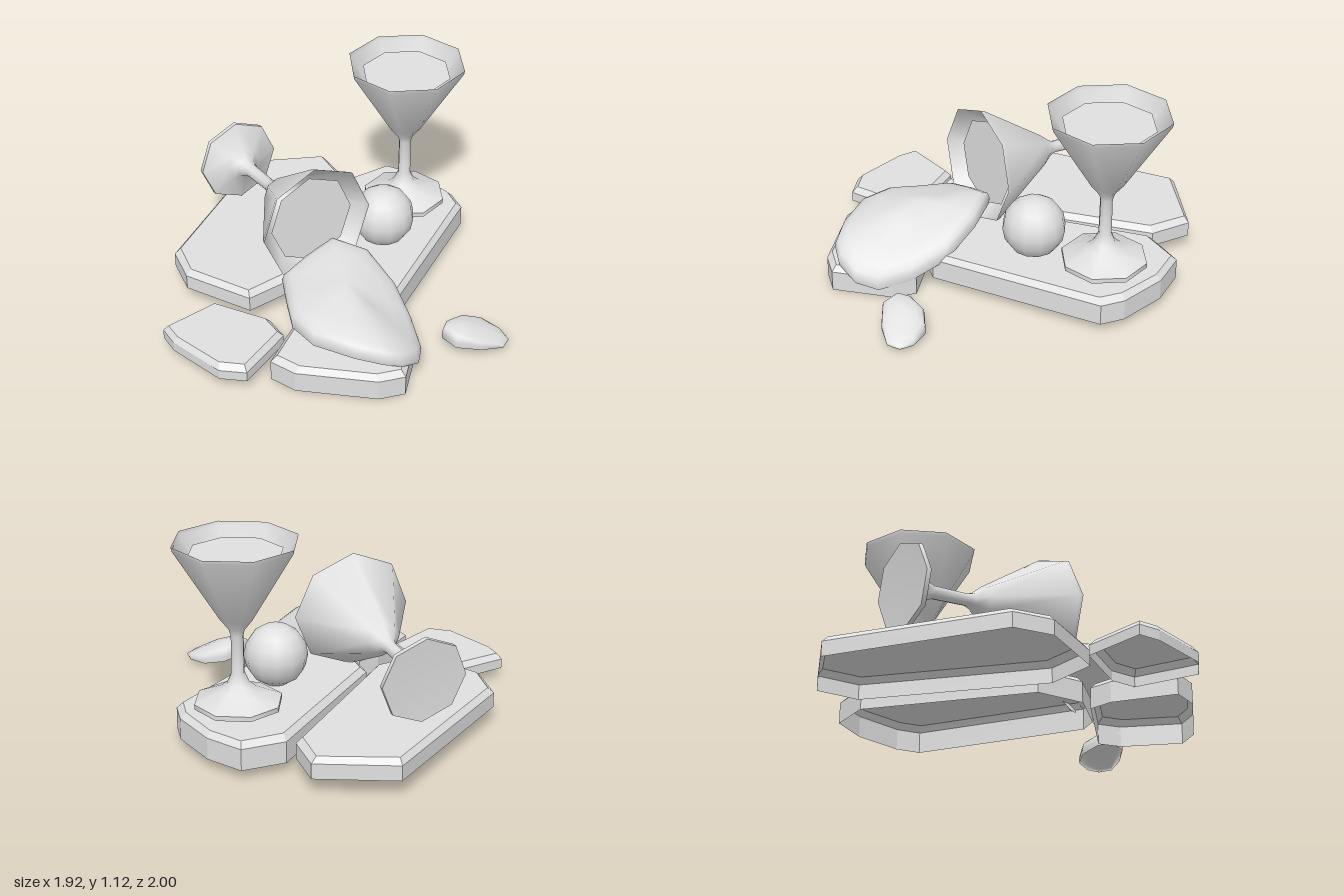
import * as THREE from 'three';
import { toCreasedNormals } from 'three/addons/utils/BufferGeometryUtils.js';

// Most pieces are thin open shells, so both sides show
const grey = new THREE.MeshStandardMaterial({ color: 0xe0e0e0, side: THREE.DoubleSide });
grey.name = 'plain grey';

function mesh(name, geometry) {
  const m = new THREE.Mesh(geometry, grey);
  m.name = name;
  return m;
}

// Skins rings of [x, y, z] from an open lower edge up to a top centre.
function loft(rings, top, crease) {
  const n = rings[0].length;
  const count = rings.length * n;
  const id = (r, j) => r * n + (j % n);
  const index = [];
  for (let j = 0; j < n; j++) {
    for (let r = 0; r < rings.length - 1; r++) {
      const a = id(r, j), b = id(r, j + 1), c = id(r + 1, j + 1), d = id(r + 1, j);
      index.push(a, c, b, a, d, c);
    }
    index.push(id(rings.length - 1, j), count, id(rings.length - 1, j + 1));
  }
  const g = new THREE.BufferGeometry();
  g.setAttribute('position', new THREE.Float32BufferAttribute([...rings.flat(2), ...top], 3));
  g.setIndex(index);
  return toCreasedNormals(g, crease);
}

// Hollow paving stone with a bevelled top edge
function stone(name, y0, y1, outline) {
  const xs = outline.map((p) => p[0]), zs = outline.map((p) => p[1]);
  const mid = (v) => (Math.min(...v) + Math.max(...v)) / 2;
  const half = (v) => (Math.max(...v) - Math.min(...v)) / 2;
  const cx = mid(xs), cz = mid(zs);
  const sx = 1 - 0.03 / half(xs), sz = 1 - 0.03 / half(zs);
  const ring = (y) => outline.map(([x, z]) => [x, y, z]);
  const inset = outline.map(([x, z]) => [cx + (x - cx) * sx, y1, cz + (z - cz) * sz]);
  return mesh(name, loft([ring(y0), ring(y1 - 0.032), inset], [cx, y1, cz], 0.2));
}

// Domed shell: lower rim of [x, z, y, edge bluntness], rounded over to a top centre
function dome(name, rim, top, bulge) {
  const ring = ([t, lift]) => rim.map(([x, z, y, blunt = 1]) => [
    top[0] + (x - top[0]) * t,
    top[1] + (y - top[1]) * t + bulge * lift * (1 + (blunt - 1) * t),
    top[2] + (z - top[2]) * t,
  ]);
  const steps = [[0.985, 0], [1, 0.45], [0.965, 0.85], [0.87, 1], [0.65, 1.05], [0.33, 1.03]];
  return mesh(name, loft(steps.map(ring), [top[0], top[1] + bulge, top[2]], 1.4));
}

// Eight-sided stemmed glass, foot on its own y = 0
function glass(name) {
  const profile = [
    [0, 0.012], [0.235, 0], [0.235, 0.026], [0.1, 0.085], [0.06, 0.12], [0.036, 0.175],
    [0.034, 0.385], [0.045, 0.42], [0.09, 0.478], [0.325, 0.868], [0.33, 0.89],
  ].map(([r, y]) => new THREE.Vector2(r, y));
  const group = new THREE.Group();
  group.name = name;
  const body = toCreasedNormals(new THREE.LatheGeometry(profile, 8), 0.9);
  // the drink's surface floats just inside the wall
  const drink = new THREE.CircleGeometry(0.25, 8).rotateX(-Math.PI / 2).translate(0, 0.828, 0);
  group.add(mesh('glassBody', body), mesh('drinkSurface', drink));
  return group;
}

export function createModel() {
  const model = new THREE.Group();
  model.name = 'spilledGlassesOnStones';

  // Paving stones
  model.add(
    stone('backRightStone', 0.09, 0.205, [[-0.96, 0.2], [-0.87, -0.8], [-0.465, -0.98],
      [-0.295, -0.815], [-0.255, 0.22], [-0.42, 0.455], [-0.82, 0.37]]),
    stone('backLeftStone', 0.055, 0.205, [[-0.235, 0.14], [-0.245, -0.82], [-0.085, -1],
      [0.13, -0.965], [0.37, -0.83], [0.455, -0.725], [0.335, 0.25], [0.24, 0.32], [-0.04, 0.33]]),
    stone('frontLeftStone', 0, 0.147, [[-0.16, 0.85], [-0.14, 0.5], [-0.08, 0.38], [0.43, 0.31],
      [0.505, 0.42], [0.54, 0.755], [0.42, 0.835], [-0.01, 0.9]]),
    stone('frontRightStone', 0.06, 0.147, [[-0.79, 0.775], [-0.61, 0.49], [-0.275, 0.535],
      [-0.165, 0.63], [-0.245, 0.97], [-0.39, 0.995], [-0.7, 0.855]]),
  );

  // Standing glass
  const standing = glass('standingGlass');
  standing.position.set(0.126, 0.235, -0.648);
  model.add(standing);

  // Tipped glass, its axis pointing forward and slightly up
  const tipped = glass('tippedGlass');
  const axis = new THREE.Vector3(0.673, 0.068, 0.56).normalize();
  const side = new THREE.Vector3().crossVectors(axis, new THREE.Vector3(0, 1, 0)).normalize();
  const up = new THREE.Vector3().crossVectors(side, axis);
  tipped.quaternion.setFromRotationMatrix(new THREE.Matrix4().makeBasis(side, axis, up));
  tipped.position.set(-0.812, 0.457, -0.412);
  model.add(tipped);

  // Ball
  const ball = mesh('ball', new THREE.SphereGeometry(0.173, 12, 8));
  ball.position.set(0.117, 0.364, -0.253);
  model.add(ball);

  // Large leaning shell and small fragment
  model.add(
    dome('largeShell', [[-0.27, 0.35, 0.22], [-0.19, 0.2, 0.265], [-0.08, 0.065, 0.32],
      [0.13, 0.075, 0.29], [0.32, 0.175, 0.17], [0.455, 0.33, 0.09], [0.548, 0.485, 0.055],
      [0.572, 0.61, 0.09], [0.515, 0.725, 0.145], [0.43, 0.78, 0.18], [0.28, 0.8, 0.2],
      [0.05, 0.78, 0.215], [-0.1, 0.68, 0.22], [-0.18, 0.53, 0.215]], [0.1, 0.295, 0.4], 0.085),
    dome('smallShell', [[0.622, 0.345, 0.07], [0.622, 0.265, 0.065], [0.685, 0.165, 0.045],
      [0.79, 0.12, 0.03, 0.8], [0.9, 0.145, 0.025, 0.4], [0.955, 0.2, 0.025, 0.2],
      [0.945, 0.275, 0.028, 0.2], [0.845, 0.345, 0.042, 0.7], [0.715, 0.39, 0.06]],
      [0.73, 0.075, 0.27], 0.068),
  );
  return model;
}
